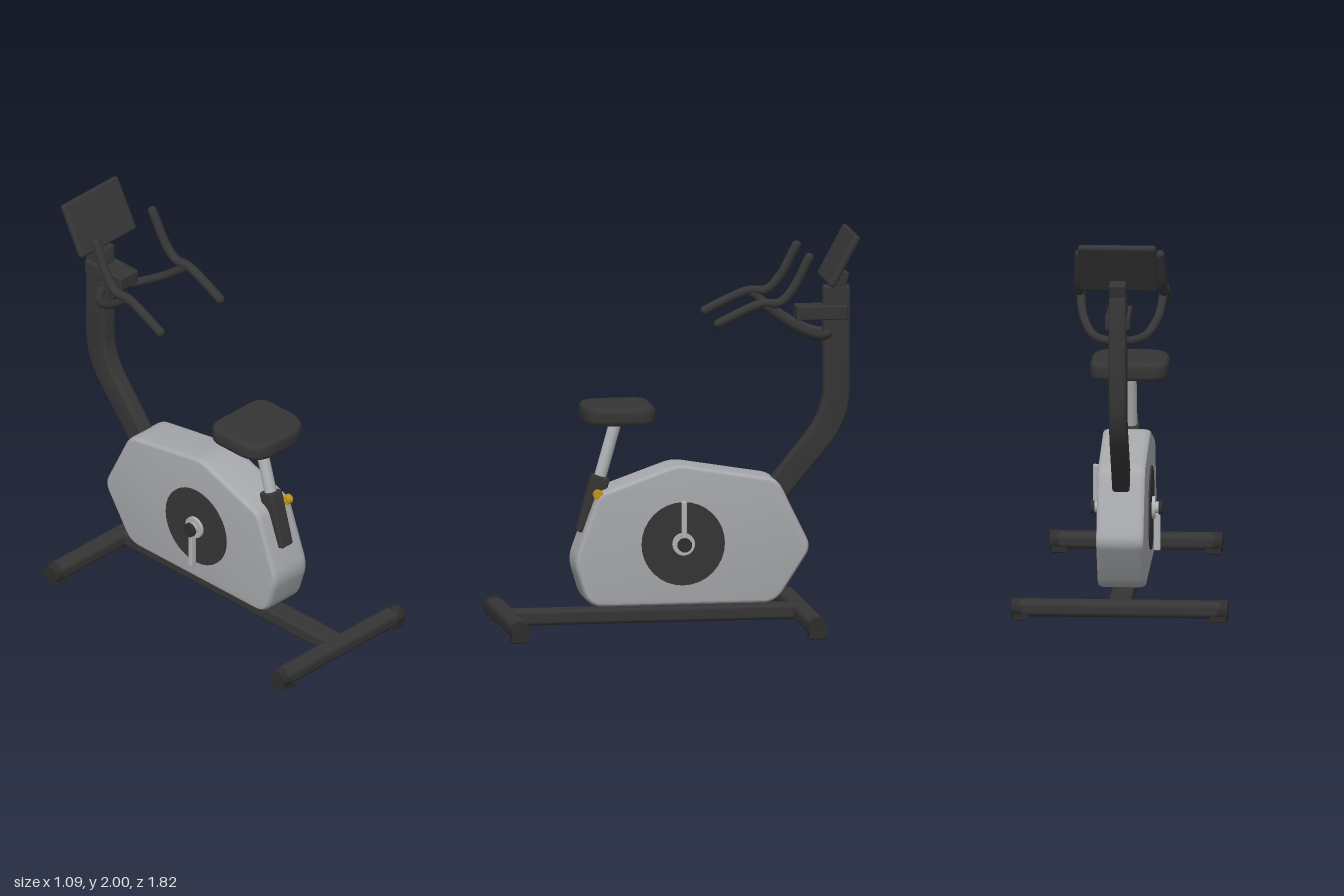
import * as THREE from 'three';
import { toCreasedNormals } from 'three/addons/utils/BufferGeometryUtils.js';
import { RoundedBoxGeometry } from 'three/addons/geometries/RoundedBoxGeometry.js';

const flat = (name, color) => {
  const m = new THREE.MeshStandardMaterial({ color });
  m.name = name;
  return m;
};

// Closed polygon with softened corners; each point is [a, b, cornerLength]
function softShape(points) {
  const shape = new THREE.Shape();
  const n = points.length;
  const vec = (i) => new THREE.Vector2(points[(i + n) % n][0], points[(i + n) % n][1]);
  const toward = (p, q, d) => p.clone().add(q.clone().sub(p).setLength(d));
  points.forEach(([, , d], i) => {
    const p = vec(i);
    const a = toward(p, vec(i - 1), d), b = toward(p, vec(i + 1), d);
    if (i === 0) shape.moveTo(a.x, a.y);
    else shape.lineTo(a.x, a.y);
    shape.quadraticCurveTo(p.x, p.y, b.x, b.y);
  });
  shape.closePath();
  return shape;
}

// Centred slab with bevelled rims
function slab(points, thickness, bevel, bevelDepth, crease = 0.6) {
  const g = new THREE.ExtrudeGeometry(softShape(points), {
    depth: thickness - 2 * bevelDepth, curveSegments: 8,
    bevelEnabled: true, bevelSize: bevel, bevelOffset: -bevel,
    bevelThickness: bevelDepth, bevelSegments: 4,
  });
  g.translate(0, 0, -(thickness - 2 * bevelDepth) / 2);
  return toCreasedNormals(g, crease);
}

export function createModel() {
  const model = new THREE.Group();
  model.name = 'exerciseBike';

  const black = flat('black plastic', 0x353535);
  const rubber = flat('dark rubber', 0x2d2d2d);
  const grey = flat('grey shell', 0xa6a8ab);
  const metal = flat('bare metal', 0xb0b3b5);
  const gold = flat('gold knob', 0xc0951c);

  const add = (name, geometry, material, x = 0, y = 0, z = 0, rx = 0) => {
    const mesh = new THREE.Mesh(geometry, material);
    mesh.name = name;
    mesh.position.set(x, y, z);
    mesh.rotation.x = rx;
    model.add(mesh);
    return mesh;
  };
  const box = (w, h, d, r) => new RoundedBoxGeometry(w, h, d, 3, r);
  const rod = (r, length) => new THREE.CylinderGeometry(r, r, length, 32).rotateZ(Math.PI / 2);

  // Floor frame: spine, two cross bars, end caps and feet
  add('spineRail', box(0.116, 0.078, 1.48, 0.02), black, 0, 0.068, 0.11);
  for (const [name, z, half] of [['front', 0.862, 0.435], ['rear', -0.635, 0.545]]) {
    add(name + 'CrossBar', box(half * 2 - 0.04, 0.084, 0.096, 0.03), black, 0, 0.062, z);
    for (const s of [-1, 1]) {
      add(name + 'BarCap', rod(0.05, 0.05), rubber, s * (half - 0.025), 0.06, z);
      add(name + 'Foot', box(0.085, 0.05, 0.085, 0.008), rubber, s * (half - 0.048), 0.025, z);
    }
  }

  // Drive housing, drawn as [z, y]
  const housing = slab([
    [0.54, 0.35, 0.06], [0.412, 0.7, 0.04], [0.01, 0.842, 0.05], [-0.5, 0.757, 0.06],
    [-0.672, 0.405, 0.05], [-0.49, 0.125, 0.07], [0.47, 0.125, 0.08],
  ], 0.24, 0.018, 0.032, 0.5).rotateY(-Math.PI / 2);
  add('driveHousing', housing, grey);

  // Crank discs, hubs, arms and end caps on both sides
  const cy = 0.44, cz = -0.015;
  for (const s of [-1, 1]) {
    add('crankDisc', rod(0.212, 0.03), black, s * 0.113, cy, cz);
    add('crankCollar', rod(0.057, 0.016), metal, s * 0.136, cy, cz);
    add('crankAxle', rod(0.03, 0.05), metal, s * 0.145, cy, cz);
    add('crankArm', box(0.034, 0.22, 0.026, 0.006), metal, s * 0.153, cy + s * 0.11, cz);
    add('crankCap', rod(0.036, 0.02), rubber, s * 0.172, cy, cz);
  }

  // Leaning seat post, sleeve and adjusting knob
  const lean = -0.276;
  add('seatSleeve', box(0.082, 0.3, 0.092, 0.012), black, 0, 0.634, 0.428, lean);
  add('seatPost', new THREE.CylinderGeometry(0.031, 0.031, 0.4, 32), metal, 0, 0.9, 0.353, lean);
  add('knobStem', rod(0.012, 0.05), gold, 0.055, 0.695, 0.414);
  add('knob', rod(0.025, 0.036), gold, 0.093, 0.695, 0.414);

  // Cushion, broad with rounder corners toward the front
  const seat = slab([
    [-0.197, -0.125, 0.09], [0.197, -0.125, 0.09], [0.197, -0.485, 0.14], [-0.197, -0.485, 0.14],
  ], 0.09, 0.02, 0.024, 1.0).rotateX(-Math.PI / 2);
  add('seat', seat, black, 0, 1.1, 0);

  // Bent mast, drawn as [z, y]
  const mast = slab([
    [-0.88, 1.72, 0.005], [-0.88, 1.037, 0.16], [-0.45, 0.518, 0.005],
    [-0.36, 0.597, 0.005], [-0.748, 1.077, 0.14], [-0.748, 1.72, 0.005],
  ], 0.088, 0.014, 0.016).rotateY(-Math.PI / 2);
  add('mast', mast, black);
  add('mastBracket', box(0.126, 0.072, 0.26, 0.008), black, 0, 1.587, -0.735);

  // Console
  add('consoleNeck', box(0.085, 0.12, 0.062, 0.01), black, 0, 1.735, -0.833, -0.25);
  add('console', box(0.395, 0.29, 0.036, 0.015), black, 0, 1.868, -0.828, -0.496);

  // Handlebars: a curved arm from the mast and a bent grip on each side
  const bar = (name, points, r, material) => {
    const pts = points.map((p) => new THREE.Vector3(...p));
    const curve = new THREE.CatmullRomCurve3(pts);
    add(name, new THREE.TubeGeometry(curve, 48, r, 14), material);
    for (const p of [pts[0], pts[pts.length - 1]]) {
      add(name + 'End', new THREE.SphereGeometry(r, 14, 10), material, p.x, p.y, p.z);
    }
  };
  for (const s of [-1, 1]) {
    bar('handlebarArm', [
      [0, 1.485, -0.785], [s * 0.06, 1.476, -0.755], [s * 0.13, 1.485, -0.685],
      [s * 0.187, 1.55, -0.56], [s * 0.212, 1.655, -0.42],
    ], 0.022, black);
    bar('handGrip', [
      [s * 0.215, 1.572, -0.18], [s * 0.215, 1.625, -0.29], [s * 0.214, 1.668, -0.4],
      [s * 0.213, 1.67, -0.49], [s * 0.21, 1.73, -0.555], [s * 0.203, 1.895, -0.645],
    ], 0.024, black);
  }

  return model;
}
